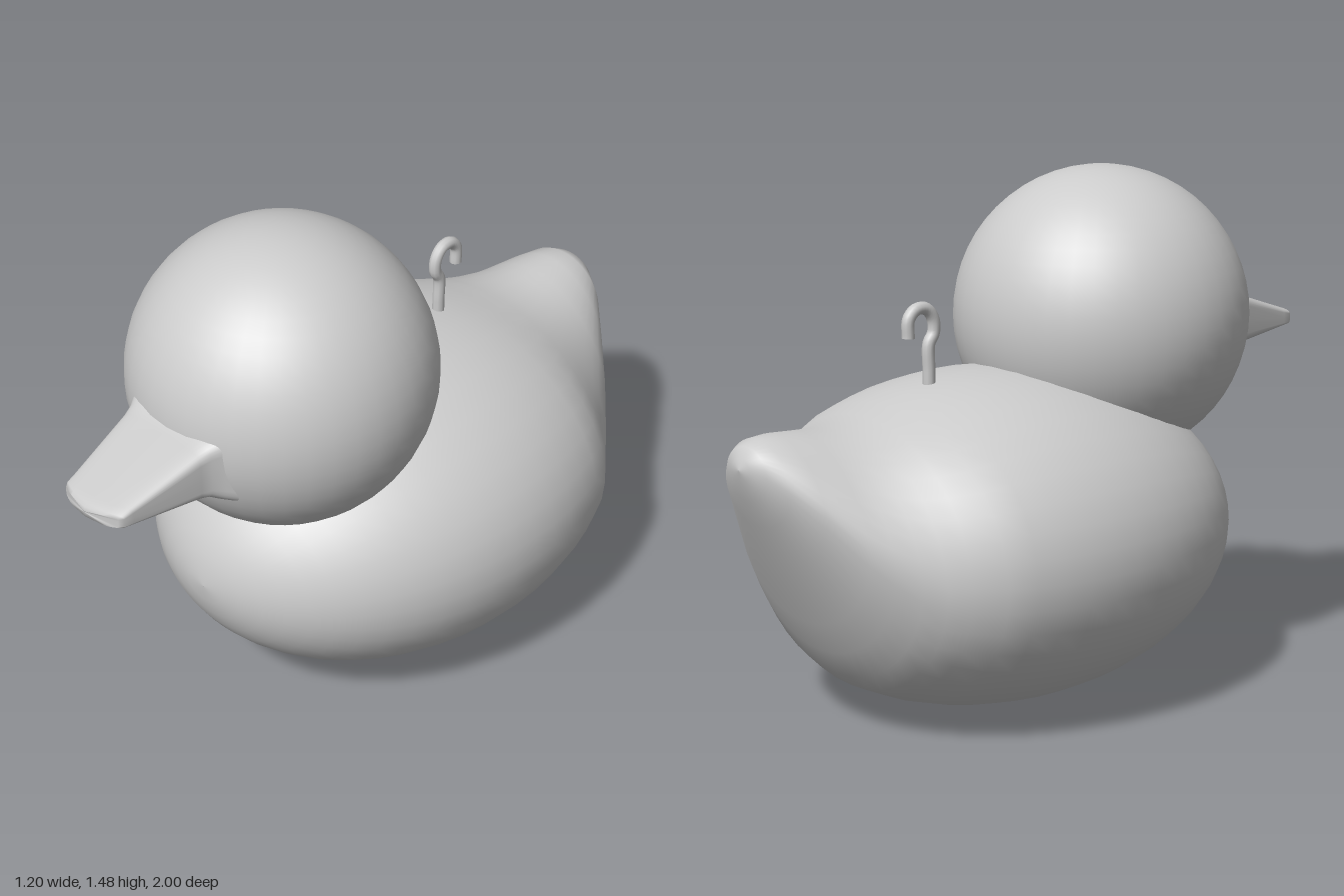
import * as THREE from 'three';

const SEGMENTS = 40;

// Smooth skin over closed rings running from front (+z) to back.
// point(station, angle) returns [x, y, z].
function loft(stations, point) {
  const positions = [], index = [];
  for (const s of stations) {
    for (let j = 0; j < SEGMENTS; j++) positions.push(...point(s, (j / SEGMENTS) * Math.PI * 2));
  }
  for (let i = 0; i < stations.length - 1; i++) {
    for (let j = 0; j < SEGMENTS; j++) {
      const a = i * SEGMENTS + j, b = i * SEGMENTS + ((j + 1) % SEGMENTS);
      index.push(a, a + SEGMENTS, b, b, a + SEGMENTS, b + SEGMENTS);
    }
  }
  const geometry = new THREE.BufferGeometry();
  geometry.setAttribute('position', new THREE.Float32BufferAttribute(positions, 3));
  geometry.setIndex(index);
  geometry.computeVertexNormals();
  return geometry;
}

// Egg-shaped body whose rear is drawn up into a pinched tail
function bodyGeometry() {
  const stations = [];
  for (let i = 0; i <= 19; i++) {
    const t = 0.002 + (i / 19) * (Math.PI / 2 + 0.5);
    const r = Math.sin(t);
    stations.push({ z: -0.16 + 0.76 * Math.cos(t), bottom: 0.475 - 0.47 * r, top: 0.475 + 0.47 * r, mid: 0.475, w: 0.6 * r, pinch: 0 });
  }
  const tail = [
    [-0.6, 0.095, 0.866, 0.475, 0.47, 0.04],
    [-0.65, 0.12, 0.856, 0.475, 0.43, 0.08],
    [-0.7, 0.165, 0.85, 0.5, 0.39, 0.13],
    [-0.75, 0.24, 0.849, 0.535, 0.345, 0.18],
    [-0.8, 0.33, 0.852, 0.58, 0.3, 0.2],
    [-0.88, 0.49, 0.857, 0.67, 0.215, 0.18],
    [-0.94, 0.615, 0.852, 0.73, 0.15, 0.1],
    [-0.975, 0.69, 0.835, 0.765, 0.09, 0],
    [-0.993, 0.745, 0.805, 0.775, 0.04, 0],
    [-1, 0.774, 0.776, 0.775, 0.001, 0],
  ];
  for (const [z, bottom, top, mid, w, pinch] of tail) stations.push({ z, bottom, top, mid, w, pinch });
  return loft(stations, (s, a) => {
    const up = Math.sin(a);
    const height = up > 0 ? s.top - s.mid : s.mid - s.bottom;
    return [s.w * Math.cos(a) * (1 - s.pinch * Math.max(0, up)), s.mid + height * up, s.z];
  });
}

// Flat bill: rounded-box sections, bowed tip, flared into the face
function beakGeometry() {
  const soft = (v) => Math.sign(v) * Math.abs(v) ** 0.3;
  const stations = [
    [0.995, 0.977, 0.979, 0.002],
    [0.994, 0.962, 0.994, 0.1],
    [0.985, 0.957, 1.0, 0.11],
    [0.96, 0.953, 1.008, 0.114],
    [0.72, 0.925, 1.078, 0.148],
    [0.69, 0.918, 1.09, 0.157],
    [0.66, 0.9, 1.105, 0.175],
    [0.6, 0.87, 1.13, 0.215],
  ];
  return loft(stations, ([z, bottom, top, w], a) => {
    const x = w * soft(Math.cos(a));
    const bow = z > 0.9 ? 0.03 * (x / 0.11) ** 2 : 0;
    return [x, (top + bottom) / 2 + ((top - bottom) / 2) * soft(Math.sin(a)), z - bow];
  });
}

export function createModel() {
  const model = new THREE.Group();
  model.name = 'toyDuck';
  const material = new THREE.MeshStandardMaterial({ color: 0xcccccc });
  const add = (name, geometry, parent = model) => {
    const mesh = new THREE.Mesh(geometry, material);
    mesh.name = name;
    parent.add(mesh);
    return mesh;
  };

  add('body', bodyGeometry());
  add('head', new THREE.SphereGeometry(0.43, 40, 28)).position.set(0, 1.055, 0.272);
  add('beak', beakGeometry());

  // Bent wire hook on the back
  const hook = new THREE.Group();
  hook.name = 'hook';
  model.add(hook);
  const path = [
    [0.88, -0.367], [0.96, -0.367], [1.035, -0.367], [1.065, -0.35], [1.105, -0.352],
    [1.133, -0.375], [1.135, -0.41], [1.11, -0.436], [1.058, -0.438],
  ].map(([y, z]) => new THREE.Vector3(0, y, z));
  add('hookWire', new THREE.TubeGeometry(new THREE.CatmullRomCurve3(path), 40, 0.018, 10), hook);
  const end = add('hookEnd', new THREE.CircleGeometry(0.018, 10), hook);
  end.position.copy(path[path.length - 1]);
  end.rotation.x = Math.PI / 2;

  return model;
}
